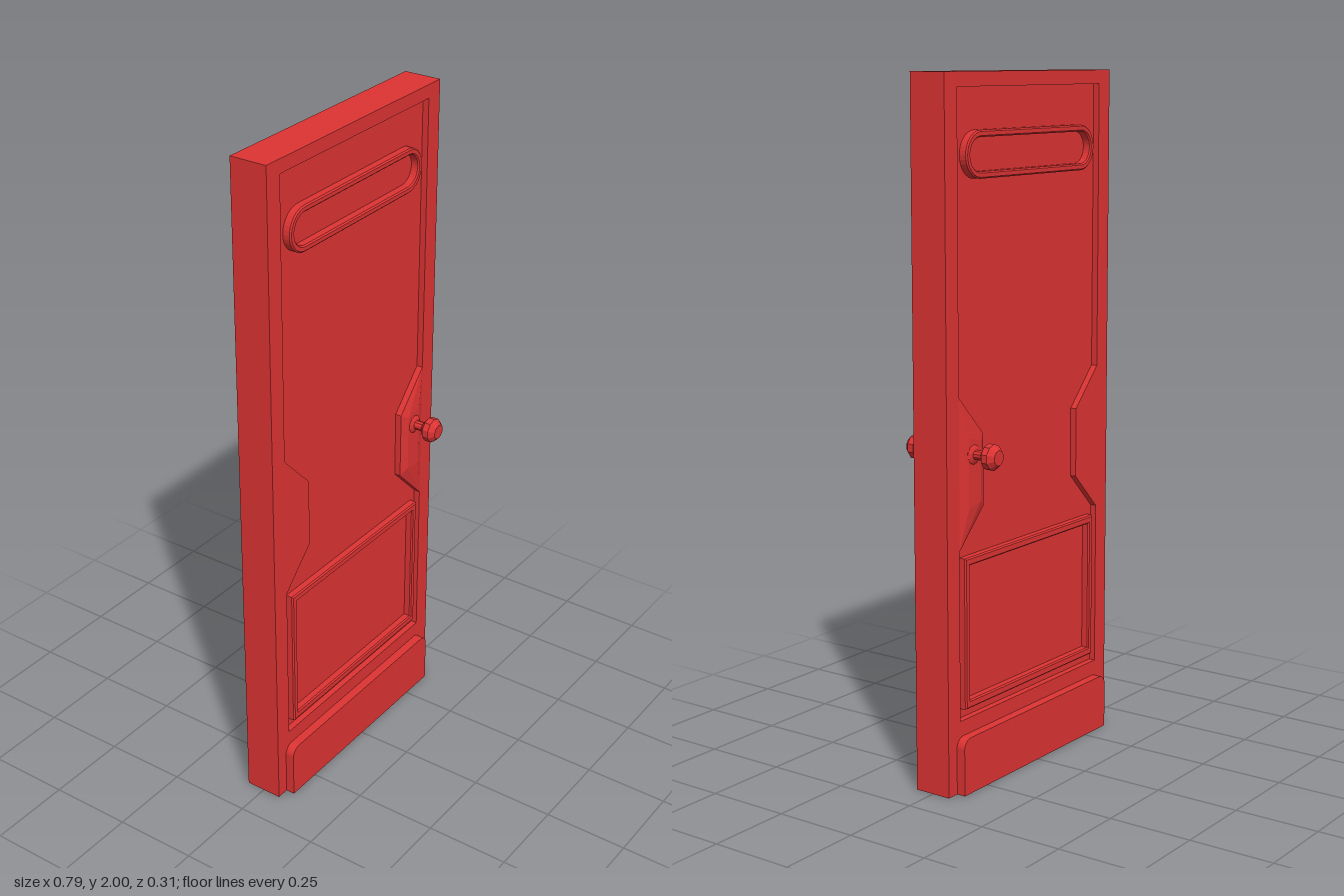
import * as THREE from 'three';
import { ConvexGeometry } from 'three/addons/geometries/ConvexGeometry.js';

const red = new THREE.MeshStandardMaterial({ color: 0xdd3333, flatShading: true });
const FACE = 0.057, RECESS = 0.038;

function add(group, name, geometry) {
  const mesh = new THREE.Mesh(geometry, red);
  mesh.name = name;
  group.add(mesh);
  return mesh;
}

const polygon = (pts) => new THREE.Shape(pts.map(([x, y]) => new THREE.Vector2(x, y)));
const rect = (w, y0, y1) => polygon([[-w, y0], [w, y0], [w, y1], [-w, y1]]);

// Stadium outline centred on x = 0
function pill(halfWidth, y, r) {
  const s = new THREE.Shape();
  s.absarc(halfWidth - r, y, r, -Math.PI / 2, Math.PI / 2, false);
  s.absarc(-halfWidth + r, y, r, Math.PI / 2, Math.PI * 1.5, false);
  s.closePath();
  return s;
}

// Extrude a shape between two depths, with an optional chamfer on the front rim
function slab(shape, z0, z1, bevel = 0) {
  const g = new THREE.ExtrudeGeometry(shape, {
    depth: z1 - z0 - bevel, curveSegments: 8, bevelEnabled: bevel > 0,
    bevelSize: bevel, bevelThickness: bevel, bevelOffset: -bevel, bevelSegments: 1,
  });
  return g.translate(0, 0, z0);
}

function ring(outer, inner, z1) {
  outer.holes.push(inner);
  return slab(outer, RECESS - 0.01, z1, 0.004);
}

// One face of the door; knobX picks the side that carries the knob
function doorFace(knobX) {
  const face = new THREE.Group();

  // Raised border around the recessed panel, notched at both sides
  const border = rect(0.395, 0, 2);
  const right = [[0.34, 0.21], [0.34, 0.7], [0.23, 0.81], [0.23, 1.015], [0.34, 1.13], [0.34, 1.96]];
  const left = right.map(([x, y]) => [-x, y]).reverse();
  border.holes.push(polygon([...right, ...left]));
  add(face, 'border', slab(border, RECESS, FACE));

  // Mouldings
  add(face, 'upperMoulding', ring(pill(0.307, 1.78, 0.065), pill(0.288, 1.78, 0.046), 0.063));
  add(face, 'lowerMoulding', ring(rect(0.318, 0.238, 0.675), rect(0.297, 0.262, 0.652), 0.061));

  // Kick plate with rounded top corners
  const kick = new THREE.Shape();
  kick.moveTo(-0.357, 0);
  kick.lineTo(0.357, 0);
  kick.lineTo(0.357, 0.135);
  kick.absarc(0.327, 0.135, 0.03, 0, Math.PI / 2, false);
  kick.absarc(-0.327, 0.135, 0.03, Math.PI / 2, Math.PI, false);
  kick.closePath();
  add(face, 'kickPlate', slab(kick, FACE - 0.01, 0.084));

  // Swollen knob plate rising out of the notch
  const side = Math.sign(knobX);
  const swell = [
    [0.23, 0.81, FACE], [0.23, 1.015, FACE], [0.34, 1.13, FACE], [0.34, 0.7, FACE],
    [0.255, 0.83, 0.068], [0.255, 1.0, 0.068], [0.31, 1.015, 0.068], [0.31, 0.815, 0.068],
    [0.23, 0.81, 0.045], [0.23, 1.015, 0.045], [0.34, 1.13, 0.045], [0.34, 0.7, 0.045],
  ];
  add(face, 'knobPlate', new ConvexGeometry(
    swell.map(([x, y, z]) => new THREE.Vector3(x * side, y, z))));

  // Faceted knob turned around the z axis
  const profile = [[0, 0.05], [0.028, 0.05], [0.028, 0.068], [0.022, 0.072], [0.014, 0.075],
    [0.014, 0.1], [0.037, 0.118], [0.037, 0.137], [0.022, 0.153], [0, 0.153]];
  const knob = new THREE.LatheGeometry(profile.map(([r, z]) => new THREE.Vector2(r, z)), 10);
  add(face, 'knob', knob.rotateX(Math.PI / 2)).position.set(knobX, 0.966, 0);
  return face;
}

export function createModel() {
  const door = new THREE.Group();
  door.name = 'door';

  // Core board whose surfaces form the recessed panels
  add(door, 'core', new THREE.BoxGeometry(0.79, 2, RECESS * 2)).position.y = 1;

  const front = doorFace(0.287);
  front.name = 'frontFace';
  const back = doorFace(-0.287);
  back.name = 'backFace';
  back.rotation.y = Math.PI;
  door.add(front, back);
  return door;
}
